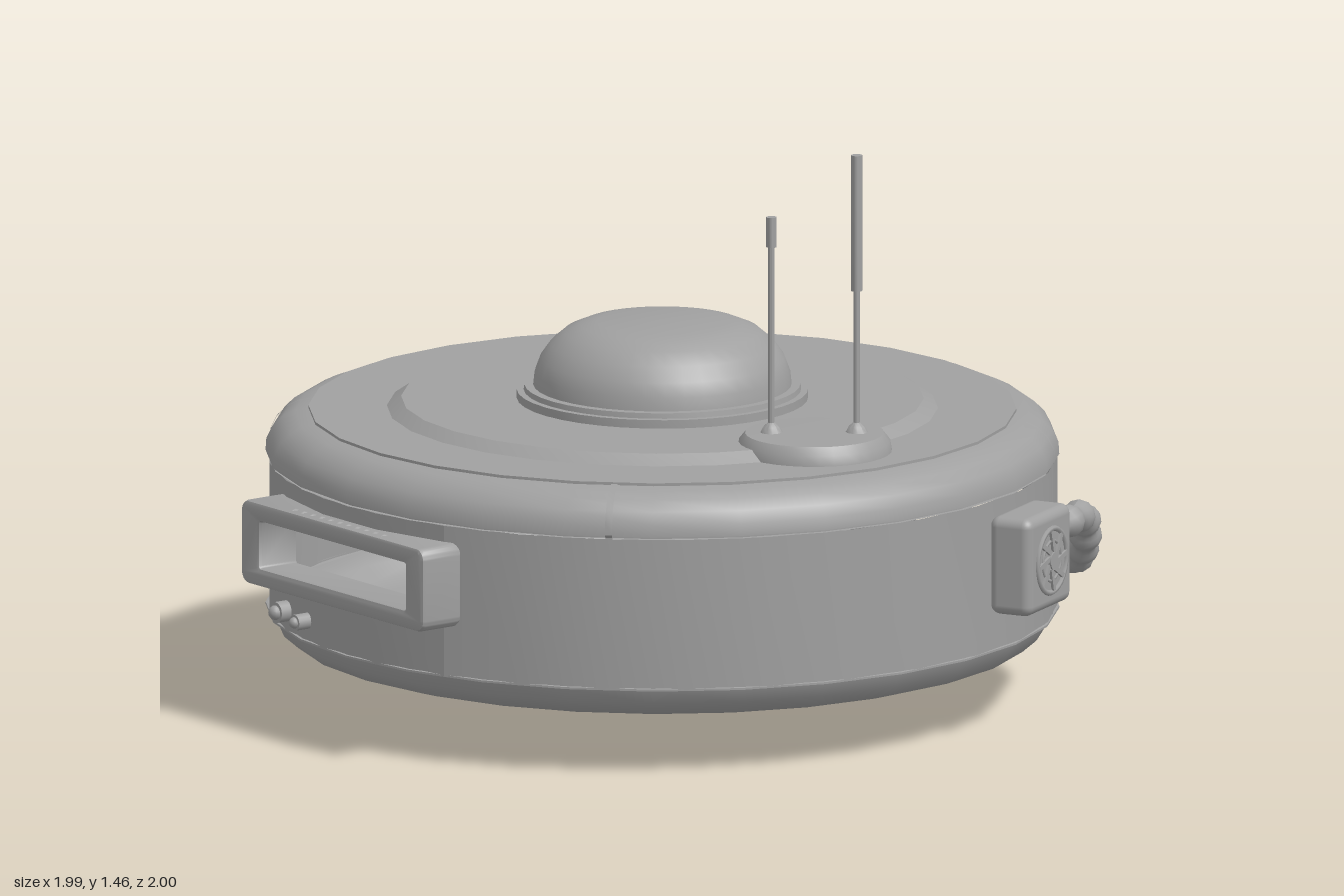
import * as THREE from 'three';
import { toCreasedNormals } from 'three/addons/utils/BufferGeometryUtils.js';
import { RoundedBoxGeometry } from 'three/addons/geometries/RoundedBoxGeometry.js';

const grey = new THREE.MeshStandardMaterial({ color: 0xa0a0a0, side: THREE.DoubleSide });
grey.name = 'grey metal';
const SIDES = 28, STEP = (Math.PI * 2) / SIDES;
const CX = 0.012, CZ = -0.024; // hull axis

export function createModel() {
  const model = new THREE.Group();
  model.name = 'saucer';
  const hull = new THREE.Group();
  hull.name = 'hull';
  hull.position.set(CX, 0, CZ);
  model.add(hull);

  function add(parent, name, geometry, x = 0, y = 0, z = 0) {
    const mesh = new THREE.Mesh(geometry, grey);
    mesh.name = name;
    mesh.position.set(x, y, z);
    parent.add(mesh);
    return mesh;
  }
  // Turned part; from and to are counted in hull sides, starting at +z towards +x
  function turned(profile, from = 0, to = SIDES, segments = Math.max(1, Math.round(to - from))) {
    const points = profile.map(([r, y]) => new THREE.Vector2(r, y));
    return toCreasedNormals(new THREE.LatheGeometry(points, segments, from * STEP, (to - from) * STEP), 0.6);
  }

  // Underside with the lamp recess
  add(hull, 'underside', turned([[0, 0.2], [0.25, 0.2], [0.25, 0.15], [0.3, 0.125], [0.345, 0.08], [0.49, 0.08],
    [0.53, 0.09], [0.56, 0.115], [0.572, 0.14], [0.86, 0.14], [0.91, 0.155], [0.945, 0.185], [0.96, 0.22], [0.972, 0.221], [0.972, 0.226], [0.966, 0.227]]));

  // Side wall, left open at the hatch (+x) and behind the handle (-x)
  const R = 0.967;
  const wall = (from, to, low, high) => add(hull, 'sideWall', turned([[R, low], [R, high]], from, to));
  wall(8, 19.5, 0.222, 0.6);
  wall(22.5, 34, 0.222, 0.6);
  wall(6, 8, 0.222, 0.23);
  wall(6, 8, 0.55, 0.6);
  wall(19.5, 22.5, 0.222, 0.395);
  wall(19.5, 22.5, 0.54, 0.6);

  // Rolled roof edge, roof and raised roof disc
  const roll = [[0.972, 0.607], [0.97, 0.637], [0.955, 0.667], [0.93, 0.692], [0.9, 0.707], [0.867, 0.713]];
  add(hull, 'roof', turned([[R, 0.6], [0.955, 0.6], [0.955, 0.606], ...roll, [0.867, 0.72],
    [0.675, 0.72], [0.64, 0.744], [0, 0.744]]));

  // Upright seams between the four hull quarters
  for (let i = 0; i < 4; i++) {
    const seam = [[R, 0.225], [R, 0.6], ...roll].map(([r, y]) => [r * 0.9937 + 0.003, y + 0.003]);
    add(hull, 'seam', turned(seam, 3.46 + i * 7, 3.54 + i * 7));
  }

  // Dome on a stepped ring
  add(hull, 'domeRing', turned([[0.357, 0.744], [0.357, 0.765], [0.34, 0.765], [0.338, 0.778], [0, 0.778]], 0, 28, 40));
  add(hull, 'dome', turned([[0.317, 0.775], [0.313, 0.81], [0.3, 0.845], [0.275, 0.88], [0.24, 0.91], [0.2, 0.927],
    [0.16, 0.935], [0, 0.937]], 0, 28, 40));

  // Lamp below the hull
  add(hull, 'lampStem', new THREE.CylinderGeometry(0.1, 0.1, 0.13, 24, 1, true), 0, 0.14, 0);
  add(hull, 'lampShade', turned([[0, 0.055], [0.08, 0.045], [0.115, 0.02], [0.138, 0.017], [0.138, 0.037], [0.126, 0.041],
    [0.126, 0.047], [0.138, 0.051], [0.138, 0.062], [0.112, 0.066], [0.108, 0.08], [0, 0.085]], 0, 28, 24));
  for (let i = 0; i < 4; i++) {
    const a = (i + 0.5) * Math.PI / 2;
    add(hull, 'lampProng', new THREE.CylinderGeometry(0.009, 0.009, 0.05, 8), Math.sin(a) * 0.026, 0.025, Math.cos(a) * 0.026);
  }
  for (const turn of [0.25, 0.75])
    add(hull, 'lampCross', new THREE.BoxGeometry(0.1, 0.012, 0.012), 0, 0.022, 0).rotation.y = turn * Math.PI;

  // Aerial base and two aerials
  add(model, 'aerialBase', turned([[0.19, 0.72], [0.186, 0.745], [0.17, 0.765], [0, 0.768]], 0, 28, 32), 0.012, 0, 0.592);
  const aerial = (x, z, sleeve, top, r) => add(model, 'aerial', turned([[0.028, 0.765], [0.02, 0.78], [0.008, 0.79],
    [0.008, sleeve], [r, sleeve], [r, top], [0, top]], 0, 28, 12), x, 0, z);
  aerial(-0.073, 0.53, 1.23, 1.305, 0.013);
  aerial(0.094, 0.655, 1.12, 1.46, 0.014);

  // Vent box with a fan
  const vent = new THREE.Group();
  vent.name = 'vent';
  vent.position.set(0.438, 0.447, 0.905);
  vent.rotation.y = 0.47;
  model.add(vent);
  add(vent, 'ventBox', new RoundedBoxGeometry(0.24, 0.245, 0.115, 3, 0.025));
  add(vent, 'fanRing', new THREE.TorusGeometry(0.08, 0.007, 6, 28), 0, 0, 0.058);
  add(vent, 'fanInnerRing', new THREE.TorusGeometry(0.05, 0.004, 6, 24), 0, 0, 0.058);
  add(vent, 'fanHub', new THREE.CylinderGeometry(0.022, 0.022, 0.014, 16), 0, 0, 0.06).rotation.x = Math.PI / 2;
  for (let i = 0; i < 8; i++) {
    const a = i * Math.PI / 4;
    add(vent, 'fanBlade', new THREE.BoxGeometry(0.06, 0.012, 0.008), Math.cos(a) * 0.048, Math.sin(a) * 0.048, 0.06).rotation.z = a + 0.25;
  }

  // Ribbed hose: a tube whose radius swells in regular bulges
  const path = new THREE.CatmullRomCurve3([[0.53, 0.505, 0.865], [0.58, 0.507, 0.855], [0.65, 0.508, 0.815], [0.715, 0.478, 0.76],
    [0.76, 0.41, 0.7], [0.8, 0.355, 0.62], [0.845, 0.332, 0.53], [0.888, 0.338, 0.415]].map((p) => new THREE.Vector3(...p)));
  const hose = new THREE.TubeGeometry(path, 60, 0.036, 12);
  const pos = hose.attributes.position, point = new THREE.Vector3();
  for (let i = 0; i < pos.count; i++) {
    const t = Math.floor(i / 13) / 60, centre = path.getPointAt(t);
    const swell = t > 0.93 ? 0.7 : 1 + 0.16 * Math.cos(t * Math.PI * 18);
    point.fromBufferAttribute(pos, i).sub(centre).multiplyScalar(swell).add(centre);
    pos.setXYZ(i, point.x, point.y, point.z);
  }
  hose.computeVertexNormals();
  add(model, 'hose', hose);
  add(model, 'hoseEnd', new THREE.SphereGeometry(0.026, 12, 8), 0.888, 0.338, 0.415);

  // Handle frame on the left-hand wall, its opening leading into the hull
  function roundedRect(path2d, w, h, r) {
    path2d.absarc(w - r, h - r, r, 0, Math.PI / 2);
    path2d.absarc(r - w, h - r, r, Math.PI / 2, Math.PI);
    path2d.absarc(r - w, r - h, r, Math.PI, Math.PI * 1.5);
    path2d.absarc(w - r, r - h, r, Math.PI * 1.5, Math.PI * 2);
    return path2d;
  }
  const outline = roundedRect(new THREE.Shape(), 0.36, 0.095, 0.02);
  outline.holes.push(roundedRect(new THREE.Path(), 0.305, 0.068, 0.015));
  const frame = new THREE.ExtrudeGeometry(outline, { depth: 0.1, bevelSize: 0.01, bevelThickness: 0.01, bevelSegments: 2, curveSegments: 4 });
  frame.rotateY(-Math.PI / 2);
  add(model, 'handleFrame', toCreasedNormals(frame, 0.7), -0.89, 0.455, -0.03);

  // Ribbed grip along the top of the frame
  add(model, 'handleGrip', new THREE.CylinderGeometry(0.016, 0.016, 0.6, 12), -0.975, 0.54, -0.03).rotation.x = Math.PI / 2;
  for (let i = 0; i < 11; i++)
    add(model, 'gripRib', new THREE.TorusGeometry(0.017, 0.007, 6, 12), -0.975, 0.54, -0.03 + (i - 5) * 0.036);

  // Two knobs under the handle
  for (const [z, r] of [[-0.34, 0.026], [-0.22, 0.02]]) {
    const x = CX - Math.sqrt(R * R - (z - CZ) ** 2);
    add(model, 'knob', new THREE.CylinderGeometry(r, r, 0.05, 16), x - 0.01, 0.275, z).rotation.z = Math.PI / 2;
    add(model, 'knobCap', new THREE.SphereGeometry(r * 0.7, 12, 8), x - 0.035, 0.275, z);
  }

  // Hatch latch
  const latch = add(model, 'latch', new RoundedBoxGeometry(0.05, 0.07, 0.046, 2, 0.008), 0.95, 0.413, -0.278);
  latch.rotation.y = 0.27;
  add(model, 'latchKnob', new THREE.SphereGeometry(0.013, 10, 8), 0.975, 0.4, -0.285);
  return model;
}
